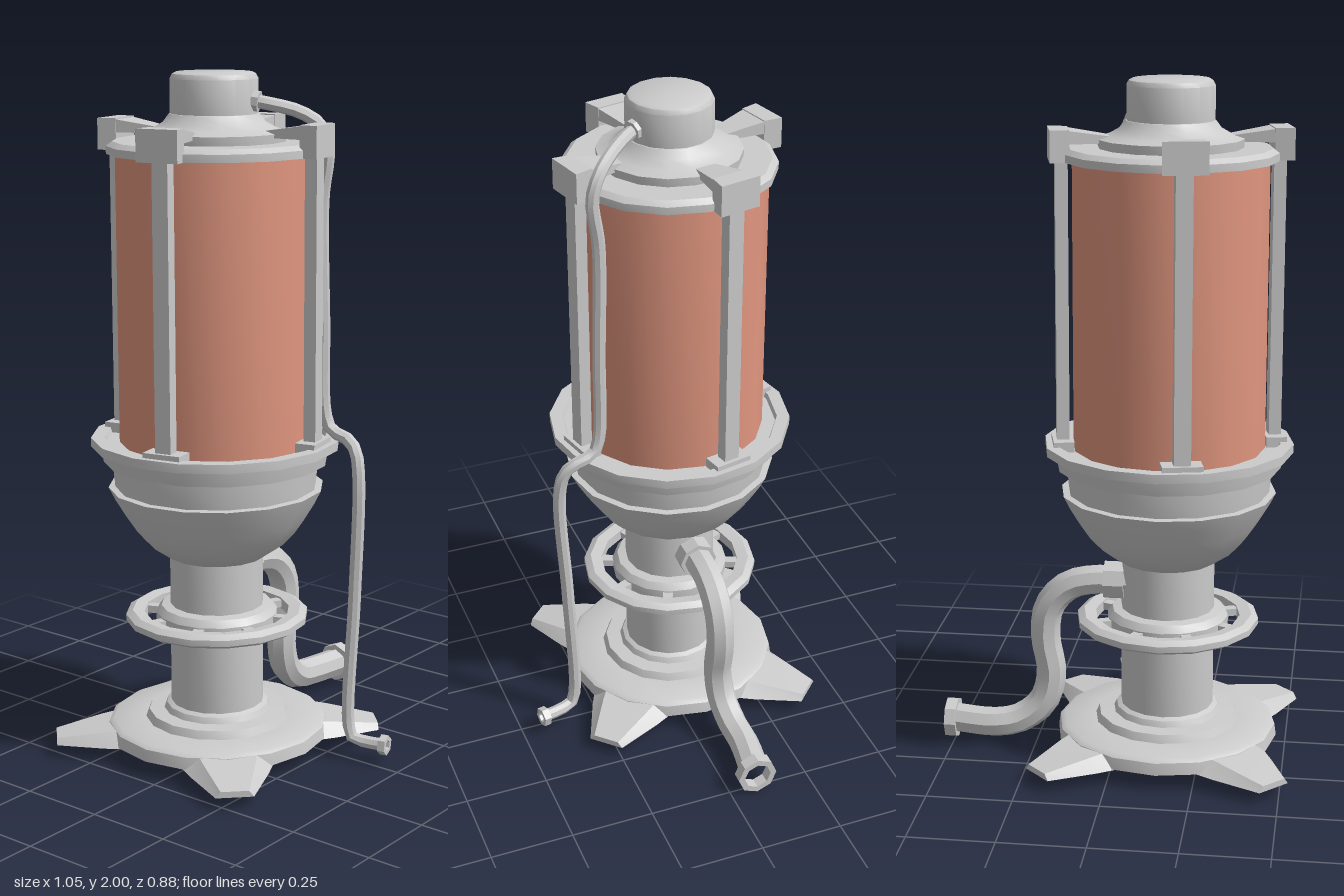
import * as THREE from 'three';
import { toCreasedNormals } from 'three/addons/utils/BufferGeometryUtils.js';

const grey = new THREE.MeshStandardMaterial({ color: 0xcccccc });
const red = new THREE.MeshStandardMaterial({ color: 0xe0967f });
const AXIS = new THREE.Vector3(-0.145, 0, -0.055);

function part(name, geometry, material = grey) {
  const mesh = new THREE.Mesh(toCreasedNormals(geometry, 0.6), material);
  mesh.name = name;
  return mesh;
}

// Turned part; profile runs [radius, y] upward on the outside
function turned(name, profile, material) {
  const points = profile.map(([r, y]) => new THREE.Vector2(r, y));
  return part(name, new THREE.LatheGeometry(points, 16), material);
}

// Solid along +x through trapezoid sections [x, yBottom, yTop, halfBottom, halfTop]
function loft(name, sections) {
  const pos = [];
  const idx = [];
  sections.forEach(([x, y0, y1, w0, w1]) => pos.push(x, y0, w0, x, y0, -w0, x, y1, -w1, x, y1, w1));
  for (let s = 0; s < sections.length - 1; s++) {
    for (let k = 0; k < 4; k++) {
      const a = s * 4 + k, b = s * 4 + (k + 1) % 4;
      idx.push(a, b, b + 4, a, b + 4, a + 4);
    }
  }
  const e = (sections.length - 1) * 4;
  idx.push(0, 2, 1, 0, 3, 2, e, e + 1, e + 2, e, e + 2, e + 3);
  const g = new THREE.BufferGeometry();
  g.setAttribute('position', new THREE.Float32BufferAttribute(pos, 3));
  g.setIndex(idx);
  return part(name, g);
}

function box(name, w, h, d, x, y, z) {
  return part(name, new THREE.BoxGeometry(w, h, d).translate(x, y, z));
}

function pipe(name, points, radius, steps) {
  const curve = new THREE.CatmullRomCurve3(points.map(p => new THREE.Vector3(...p)), false, 'centripetal');
  return part(name, new THREE.TubeGeometry(curve, steps, radius, 8));
}

// Short collar centred at a point, aimed along a direction; hollow ones show the bore
function collar(name, at, dir, radius, length, sides, bore = 0) {
  const h = length / 2;
  const profile = [[bore, -h], [radius, -h], [radius, h], [bore, h]];
  if (bore) profile.push([bore, -h]);
  const mesh = part(name, new THREE.LatheGeometry(profile.map(p => new THREE.Vector2(...p)), sides));
  mesh.position.set(...at);
  mesh.quaternion.setFromUnitVectors(new THREE.Vector3(0, 1, 0), new THREE.Vector3(...dir).normalize());
  return mesh;
}

export function createModel() {
  const model = new THREE.Group();
  const body = new THREE.Group();
  body.name = 'tankBody';
  body.position.copy(AXIS);
  model.add(body);

  // Hollow stepped foot and column
  body.add(turned('baseAndColumn', [
    [0, 0.5], [0.125, 0.5], [0.125, 0.06], [0.2, 0.055], [0.21, 0.07], [0.285, 0.07], [0.295, 0.045],
    [0.33, 0.05], [0.325, 0.085], [0.31, 0.095], [0.215, 0.097], [0.205, 0.12], [0.16, 0.123],
    [0.152, 0.14], [0.138, 0.147], [0.138, 0.62],
  ]));

  // Tapered feet on the diagonals
  for (let i = 0; i < 4; i++) {
    const foot = loft('foot', [
      [0.27, 0.05, 0.09, 0.14, 0.09],
      [0.345, 0.045, 0.08, 0.113, 0.075],
      [0.483, 0.038, 0.056, 0.054, 0.04],
    ]);
    foot.rotation.y = Math.PI / 4 + i * Math.PI / 2;
    body.add(foot);
  }

  // Hand wheel around the column
  body.add(turned('wheelHub', [[0.138, 0.37], [0.165, 0.375], [0.18, 0.395], [0.18, 0.425], [0.165, 0.445], [0.138, 0.45]]));
  body.add(turned('wheelRim', [[0.215, 0.395], [0.25, 0.39], [0.27, 0.402], [0.27, 0.42], [0.25, 0.432], [0.215, 0.427], [0.215, 0.395]]));
  for (let i = 0; i < 8; i++) {
    const spoke = box('wheelSpoke', 0.07, 0.022, 0.03, 0.195, 0.41, 0);
    spoke.rotation.y = (i + 0.5) * Math.PI / 4;
    body.add(spoke);
  }

  // Bowl with stepped flange and raised lip
  body.add(turned('bowl', [
    [0.12, 0.595], [0.145, 0.6], [0.2, 0.638], [0.235, 0.675], [0.265, 0.72], [0.295, 0.77], [0.315, 0.81],
    [0.295, 0.812], [0.302, 0.885], [0.327, 0.887], [0.335, 0.932], [0.363, 0.934], [0.363, 0.96],
    [0.325, 0.96], [0.32, 0.945], [0, 0.945],
  ]));

  // Tank, lid and domed neck
  body.add(turned('tank', [[0.28, 0.945], [0.28, 1.785]], red));
  body.add(turned('lid', [[0, 1.775], [0.305, 1.775], [0.305, 1.797], [0.288, 1.81], [0, 1.81]]));
  body.add(turned('neck', [
    [0.205, 1.805], [0.208, 1.835], [0.175, 1.845], [0.145, 1.862], [0.128, 1.885], [0.1, 1.892],
  ]));
  body.add(turned('cap', [[0.1, 1.88], [0.125, 1.885], [0.125, 1.982], [0.118, 1.995], [0.108, 2], [0, 2]]));

  // Four clamps: arm, bracket, post and pad
  for (let i = 0; i < 4; i++) {
    const clamp = new THREE.Group();
    clamp.name = 'clamp';
    clamp.add(
      loft('arm', [[0.16, 1.825, 1.842, 0.028, 0.028], [0.288, 1.825, 1.862, 0.053, 0.053]]),
      loft('bracket', [[0.287, 1.775, 1.865, 0.054, 0.054], [0.342, 1.775, 1.865, 0.063, 0.063]]),
      box('post', 0.036, 0.83, 0.048, 0.308, 1.365, 0),
      box('pad', 0.06, 0.035, 0.115, 0.308, 0.957, 0),
    );
    clamp.rotation.y = 0.22 + i * Math.PI / 2;
    body.add(clamp);
  }

  // Thick outlet pipe on the left side
  model.add(pipe('outletPipe', [
    [-0.05, 0.53, -0.08], [0.08, 0.527, -0.08], [0.15, 0.505, -0.08], [0.207, 0.44, -0.08], [0.22, 0.345, -0.08],
    [0.203, 0.225, -0.08], [0.228, 0.135, -0.085], [0.295, 0.08, -0.094], [0.37, 0.064, -0.1], [0.505, 0.063, -0.08],
  ], 0.045, 26));
  model.add(collar('outletCollar', [0.01, 0.53, -0.08], [1, 0, 0], 0.058, 0.06, 8));
  model.add(collar('outletFlange', [0.509, 0.063, -0.08], [1, 0, 0], 0.061, 0.034, 8, 0.042));

  // Thin feed pipe from the cap down the front
  model.add(pipe('feedPipe', [
    [-0.12, 1.925, 0.04], [-0.095, 1.917, 0.085], [-0.03, 1.89, 0.165], [0.005, 1.85, 0.21], [0.01, 1.79, 0.228],
    [0.008, 1.65, 0.212], [0.008, 1.3, 0.218], [0.01, 1.03, 0.225], [0.014, 0.985, 0.245], [0.018, 0.968, 0.295],
    [0.012, 0.94, 0.33], [0.005, 0.865, 0.348], [0.01, 0.5, 0.335], [0.004, 0.11, 0.322], [0.006, 0.068, 0.335],
    [0.018, 0.06, 0.375], [0.03, 0.06, 0.43],
  ], 0.019, 64));
  model.add(collar('feedCollar', [-0.108, 1.922, 0.062], [0.4, -0.15, 0.9], 0.03, 0.025, 8));
  model.add(collar('feedFlange', [0.031, 0.06, 0.432], [0.2, 0, 1], 0.03, 0.022, 6, 0.016));
  return model;
}
